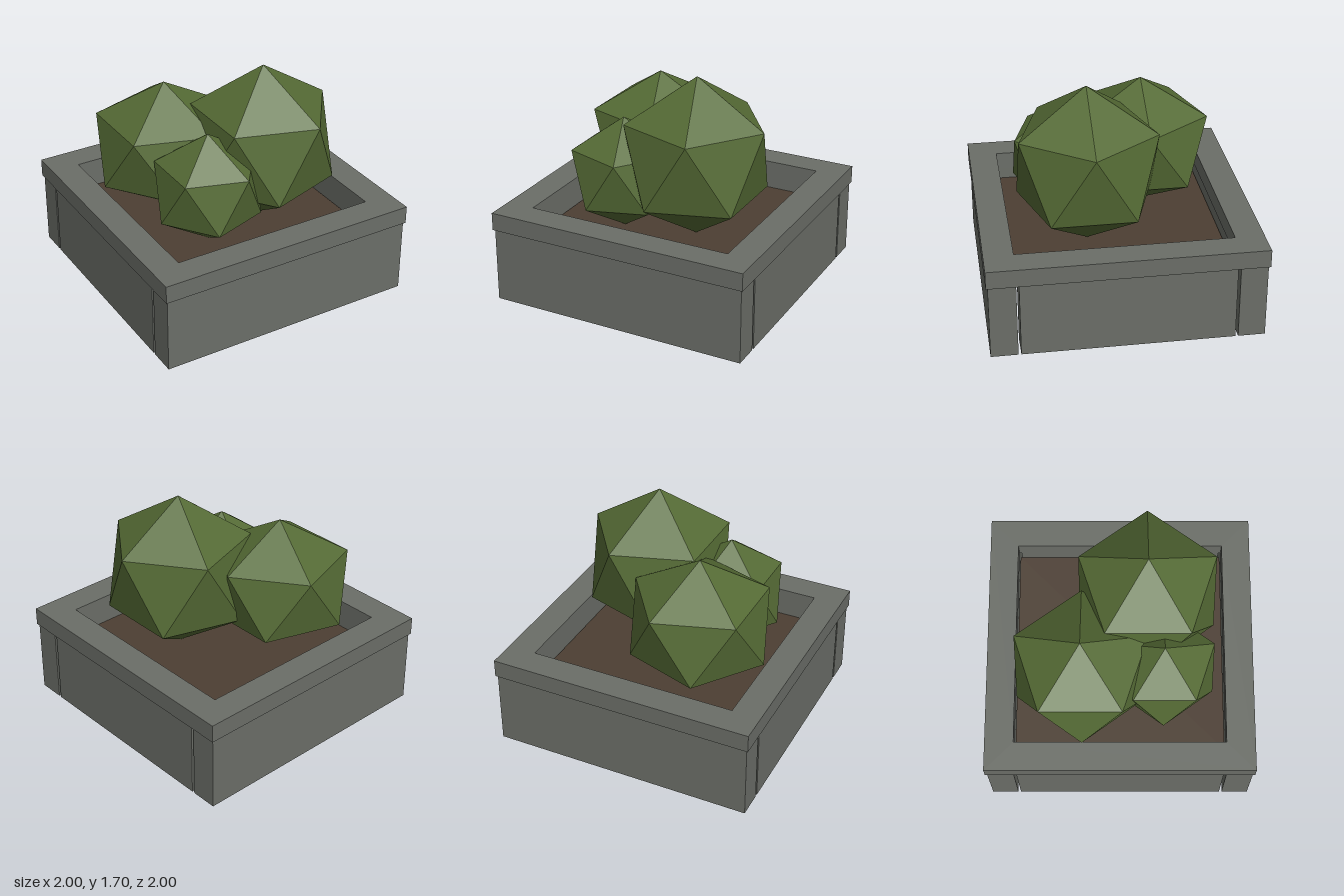
import * as THREE from 'three';

export function createModel() {
  const model = new THREE.Group();
  model.name = 'planter';

  const stone = new THREE.MeshStandardMaterial({ color: 0x6b6e68 });
  stone.name = 'grey stone';
  const earth = new THREE.MeshStandardMaterial({ color: 0x4d3f33 });
  earth.name = 'brown soil';
  const leaf = new THREE.MeshStandardMaterial({ color: 0x556b35 });
  leaf.name = 'leaf green';

  const add = (name, geometry, material, x, y, z) => {
    const mesh = new THREE.Mesh(geometry, material);
    mesh.name = name;
    mesh.position.set(x, y, z);
    model.add(mesh);
    return mesh;
  };

  // Four walls, with a narrow joint beside each corner
  const wallHeight = 0.565, thickness = 0.197, offset = 0.8885;
  for (const s of [1, -1]) {
    add(s > 0 ? 'frontWall' : 'backWall',
      new THREE.BoxGeometry(1.974, wallHeight, thickness), stone, 0, wallHeight / 2, s * offset);
    add(s > 0 ? 'leftWall' : 'rightWall',
      new THREE.BoxGeometry(thickness, wallHeight, 1.54), stone, s * offset, wallHeight / 2, 0);
  }

  // Square coping frame on top of the walls
  const square = (PathType, h) => new PathType([
    new THREE.Vector2(-h, -h), new THREE.Vector2(h, -h),
    new THREE.Vector2(h, h), new THREE.Vector2(-h, h),
  ]);
  const frame = square(THREE.Shape, 1);
  frame.holes.push(square(THREE.Path, 0.786));
  const rim = new THREE.ExtrudeGeometry(frame, { depth: 0.135, bevelEnabled: false });
  rim.rotateX(-Math.PI / 2);
  add('rim', rim, stone, 0, wallHeight, 0);

  // Soil slab
  add('soil', new THREE.BoxGeometry(1.566, 0.02, 1.566), earth, 0, 0.473, 0);

  // Faceted bushes: icosahedra standing on a point, one upper corner towards +x
  const bush = (name, x, y, z, width, height) => {
    const geometry = new THREE.IcosahedronGeometry(1, 0);
    geometry.rotateX(-Math.atan((1 + Math.sqrt(5)) / 2));
    geometry.rotateY(Math.PI / 2);
    geometry.scale(width, height, width);
    add(name, geometry, leaf, x, y, z);
  };
  bush('largeBush', 0.25, 1.092, 0.2, 0.588, 0.609);
  bush('mediumBush', -0.3, 0.992, -0.28, 0.568, 0.509);
  bush('smallBush', -0.28, 0.912, 0.32, 0.43, 0.43);

  return model;
}
